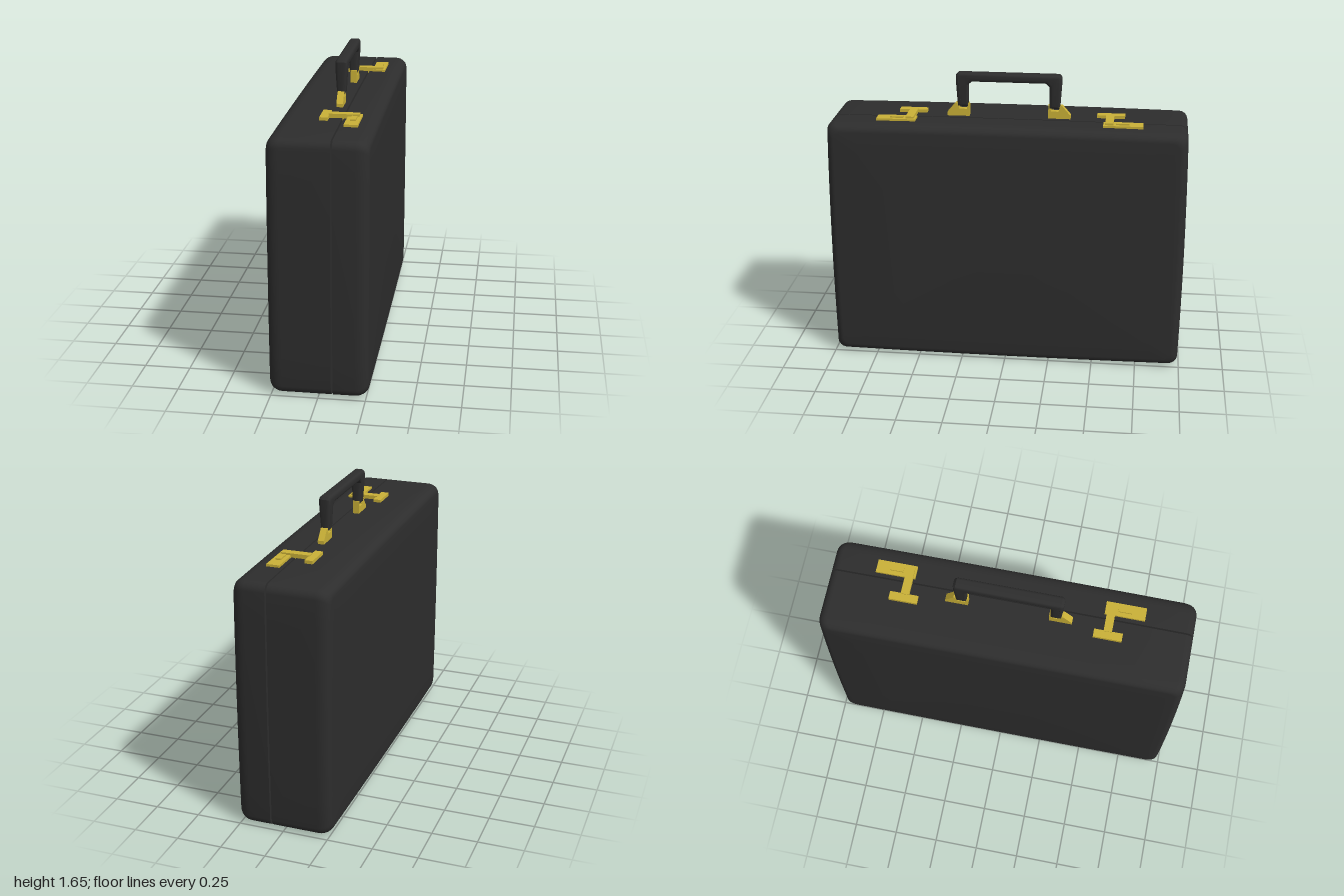
import * as THREE from 'three';
import { toCreasedNormals } from 'three/addons/utils/BufferGeometryUtils.js';

const leather = new THREE.MeshStandardMaterial({ color: 0x2d2d2d });
leather.name = 'black leather';
const brass = new THREE.MeshStandardMaterial({ color: 0xc9b037 });
brass.name = 'brass';

const HY = 0.7, HZ = 1; // half height and half length of the case

// Rounded rectangle in y/z with slightly bulging sides
function ring(x, inset, scale) {
  const hy = HY - inset, hz = HZ - inset, r = 0.045, pts = [];
  const add = (y, z) => {
    const v = y / hy, w = z / hz;
    pts.push([x, HY + scale * y * (1 - 0.01 * w * w), scale * z * (1 - 0.009 * v * v)]);
  };
  const corners = [[1, 1], [-1, 1], [-1, -1], [1, -1]];
  corners.forEach(([sy, sz], c) => {
    const cy = sy * (hy - r), cz = sz * (hz - r);
    for (let i = 0; i <= 6; i++) {
      const a = (c + i / 6) * Math.PI / 2;
      add(cy + r * Math.cos(a), cz + r * Math.sin(a));
    }
    // subdivided straight side to the next corner
    const [ny, nz] = corners[(c + 1) % 4], a = (c + 1) * Math.PI / 2;
    for (let i = 1; i < 8; i++) {
      const t = i / 8;
      add(THREE.MathUtils.lerp(cy, ny * (hy - r), t) + r * Math.cos(a),
        THREE.MathUtils.lerp(cz, nz * (hz - r), t) + r * Math.sin(a));
    }
  });
  return pts;
}

// One half of the case, from the seam out to its bulging face
function shell(seam, dir) {
  const face = 0.262, rx = 0.07, ry = 0.045;
  const rings = [ring(seam, 0, 0), ring(seam, 0, 1)];
  for (let i = 0; i <= 7; i++) {
    const a = i / 7 * Math.PI / 2;
    rings.push(ring(dir * (face - rx + rx * Math.sin(a)), ry * (1 - Math.cos(a)), 1));
  }
  for (const s of [0.85, 0.65, 0.4, 0.2, 0]) rings.push(ring(dir * (face + 0.008 * (1 - s * s)), ry, s));

  const n = rings[0].length, index = [];
  for (let i = 0; i < rings.length - 1; i++) {
    for (let j = 0; j < n; j++) {
      const a = i * n + j, b = i * n + (j + 1) % n, c = b + n, d = a + n;
      if (dir > 0) index.push(a, b, c, a, c, d);
      else index.push(a, c, b, a, d, c);
    }
  }
  const geo = new THREE.BufferGeometry();
  geo.setAttribute('position', new THREE.Float32BufferAttribute(rings.flat(2), 3));
  geo.setIndex(index);
  return toCreasedNormals(geo, 0.7);
}

// Side profile given as [z, y] points, extruded across x and centred
function profile(points, width, bevel) {
  const shape = new THREE.Shape(points.map(p => new THREE.Vector2(...p)));
  const depth = width - 2 * bevel;
  const geo = new THREE.ExtrudeGeometry(shape, {
    depth, bevelEnabled: bevel > 0, bevelSize: bevel, bevelThickness: bevel,
    bevelOffset: -bevel, bevelSegments: 4,
  });
  return geo.translate(0, 0, -depth / 2).rotateY(-Math.PI / 2);
}

function mesh(name, geo, mat, parent) {
  const m = new THREE.Mesh(geo, mat);
  m.name = name;
  parent.add(m);
  return m;
}

// Box from its limits on each axis
function block(name, x0, x1, y0, y1, z0, z1, parent) {
  mesh(name, new THREE.BoxGeometry(x1 - x0, y1 - y0, z1 - z0), brass, parent)
    .position.set((x0 + x1) / 2, (y0 + y1) / 2, (z0 + z1) / 2);
}

export function createModel() {
  const model = new THREE.Group();
  model.name = 'briefcase';

  // Case halves with an open seam between them
  mesh('caseBody', shell(0.068, -1), leather, model);
  mesh('caseLid', shell(0.077, 1), leather, model);

  // Handle: a U shape with soft edges, narrower at the feet
  const half = [[0.225, 1.455], [0.285, 1.455], [0.294, 1.6], [0.294, 1.632], [0.28, 1.647]];
  const inner = [[0.205, 1.598], [0.225, 1.58]];
  const mirror = list => list.map(([z, y]) => [-z, y]).reverse();
  const outline = [...half, ...mirror(half), ...mirror(inner), ...inner];
  const handle = profile(outline, 0.066, 0.018);
  const pos = handle.attributes.position;
  for (let i = 0; i < pos.count; i++) {
    const t = THREE.MathUtils.clamp((1.6 - pos.getY(i)) / 0.145, 0, 1);
    pos.setX(i, pos.getX(i) * (1 - 0.25 * t));
  }
  mesh('handle', toCreasedNormals(handle, 0.6), leather, model).position.x = 0.023;

  for (const side of [1, -1]) {
    // Bracket that cups the handle foot
    const bracket = mesh('handleBracket', profile([
      [0.22, 1.39], [0.344, 1.39], [0.344, 1.418], [0.297, 1.473], [0.284, 1.473],
      [0.277, 1.44], [0.235, 1.44], [0.228, 1.473], [0.22, 1.473],
    ], 0.036, 0), brass, model);
    bracket.position.x = 0.023;
    if (side < 0) bracket.rotation.y = Math.PI, bracket.position.x = 0.023;

    // Latch: lock plate on the lid, T-shaped hasp reaching over the seam
    const latch = new THREE.Group();
    latch.name = 'latch';
    model.add(latch);
    const bar = (name, x0, x1, top, za, zb) => {
      const z = [side * za - 0.012, side * zb - 0.012].sort((a, b) => a - b);
      block(name, x0, x1, 1.385, top, z[0], z[1], latch);
    };
    bar('lockPlate', 0.097, 0.17, 1.409, 0.517, 0.735);
    bar('lockButton', 0.12, 0.15, 1.417, 0.587, 0.66);
    bar('haspArm', -0.005, 0.157, 1.42, 0.528, 0.573);
    bar('haspCross', -0.045, 0, 1.415, 0.477, 0.632);
  }
  return model;
}
